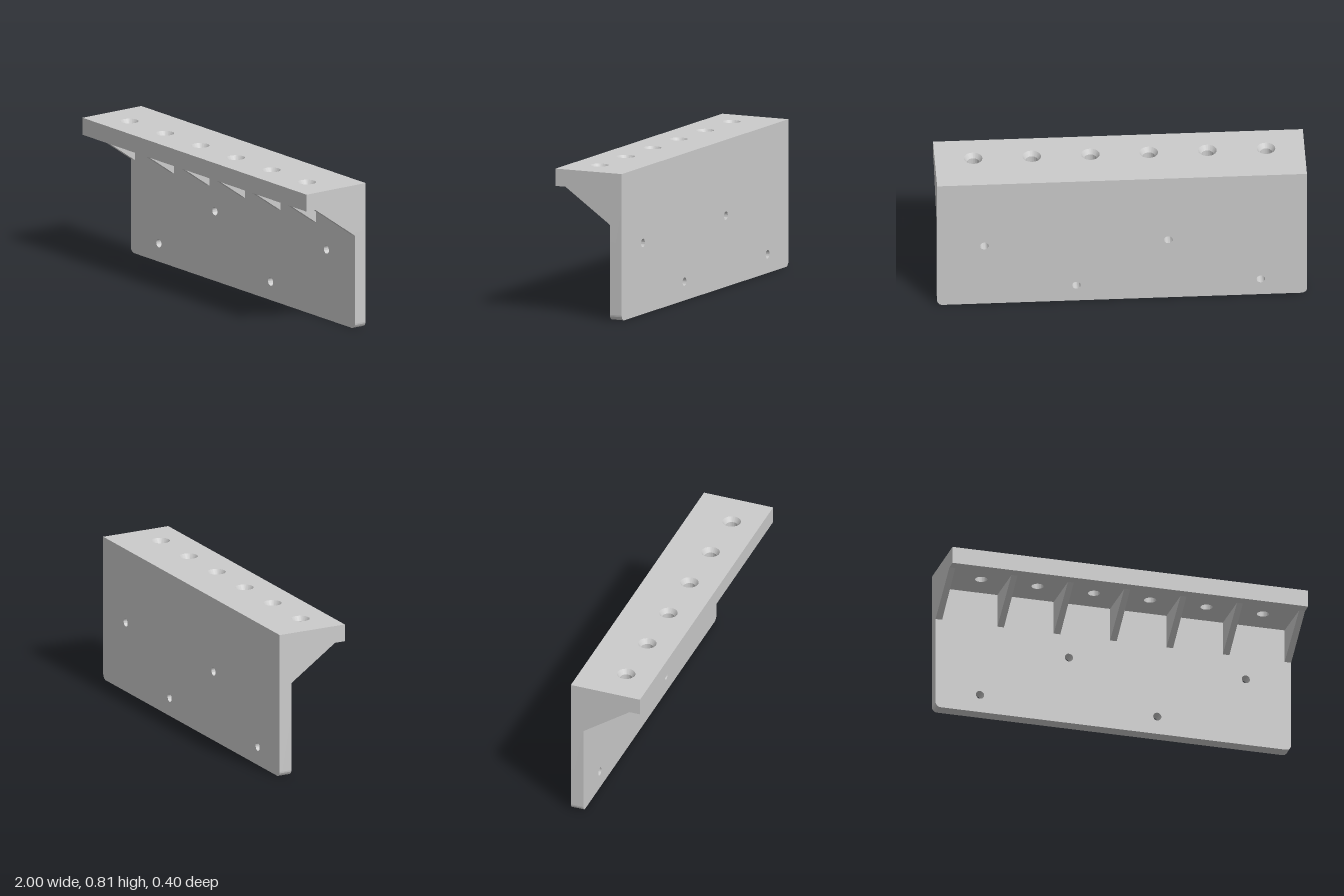
import * as THREE from 'three';
import { toCreasedNormals } from 'three/addons/utils/BufferGeometryUtils.js';

const TOP = 0.805, SHELF_Y = 0.71, BACK = -0.2, FRONT = 0.2, PLATE_Z = -0.128;

const material = new THREE.MeshStandardMaterial({ color: 0xcccccc });

function part(name, geometry) {
  const mesh = new THREE.Mesh(toCreasedNormals(geometry, 0.5), material);
  mesh.name = name;
  return mesh;
}

function addHole(shape, x, y, r) {
  const hole = new THREE.Path();
  hole.absarc(x, y, r, 0, Math.PI * 2, true);
  shape.holes.push(hole);
}

// Upright plate with rounded lower corners and four screw holes
function backPlate() {
  const r = 0.03;
  const s = new THREE.Shape();
  s.moveTo(-1, TOP);
  s.lineTo(-1, r);
  s.absarc(-1 + r, r, r, Math.PI, Math.PI * 1.5, false);
  s.lineTo(1 - r, 0);
  s.absarc(1 - r, r, r, Math.PI * 1.5, Math.PI * 2, false);
  s.lineTo(1, TOP);
  s.closePath();
  for (const [x, y] of [[-0.25, 0.39], [0.745, 0.39], [-0.75, 0.103], [0.247, 0.103]]) {
    addHole(s, x, y, 0.023);
  }
  const g = new THREE.ExtrudeGeometry(s, { depth: PLATE_Z - BACK, bevelEnabled: false, curveSegments: 16 });
  g.translate(0, 0, BACK);
  return part('backPlate', g);
}

// Shelf with a row of countersunk holes
function shelf() {
  const holeZ = 0.04, inner = 0.033, outer = 0.05, sinkDepth = 0.026;
  const thick = TOP - SHELF_Y;
  const xs = [-0.792, -0.475, -0.158, 0.158, 0.475, 0.792];
  const s = new THREE.Shape([
    new THREE.Vector2(-1, -FRONT), new THREE.Vector2(1, -FRONT),
    new THREE.Vector2(1, -PLATE_Z), new THREE.Vector2(-1, -PLATE_Z),
  ]);
  xs.forEach((x) => addHole(s, x, -holeZ, inner));
  const g = new THREE.ExtrudeGeometry(s, { depth: thick, steps: 2, bevelEnabled: false, curveSegments: 32 });
  // Drop the middle ring to the countersink depth and widen the holes at the top
  const p = g.attributes.position;
  for (let i = 0; i < p.count; i++) {
    const x = p.getX(i), y = p.getY(i), z = p.getZ(i);
    if (z > thick * 0.25 && z < thick * 0.75) p.setZ(i, thick - sinkDepth);
    if (z < thick * 0.75) continue;
    const cx = xs.find((c) => Math.hypot(x - c, y + holeZ) < inner * 1.1);
    if (cx === undefined) continue;
    p.setX(i, cx + (x - cx) * outer / inner);
    p.setY(i, -holeZ + (y + holeZ) * outer / inner);
  }
  g.rotateX(-Math.PI / 2);
  g.translate(0, SHELF_Y, 0);
  return part('shelf', g);
}

// Triangular rib under the shelf, slightly thinner towards its front tip
function gusset(k) {
  const tip = 0.14;
  const s = new THREE.Shape([
    new THREE.Vector2(PLATE_Z, 0.522), new THREE.Vector2(tip, SHELF_Y), new THREE.Vector2(PLATE_Z, SHELF_Y),
  ]);
  const g = new THREE.ExtrudeGeometry(s, { depth: 1, bevelEnabled: false });
  g.translate(0, 0, -0.5);
  g.rotateY(-Math.PI / 2);
  const end = Math.abs(k) === 3;
  const cx = end ? Math.sign(k) : k * 0.317;
  const p = g.attributes.position;
  for (let i = 0; i < p.count; i++) {
    const t = (p.getZ(i) - PLATE_Z) / (tip - PLATE_Z);
    const half = (end ? 2 : 1) * THREE.MathUtils.lerp(0.0185, 0.0165, t);
    p.setX(i, THREE.MathUtils.clamp(cx + Math.sign(p.getX(i)) * half, -1, 1));
  }
  return part('gusset', g);
}

export function createModel() {
  const model = new THREE.Group();
  model.name = 'wallRack';
  model.add(backPlate(), shelf());
  for (let k = -3; k <= 3; k++) model.add(gusset(k));
  return model;
}
